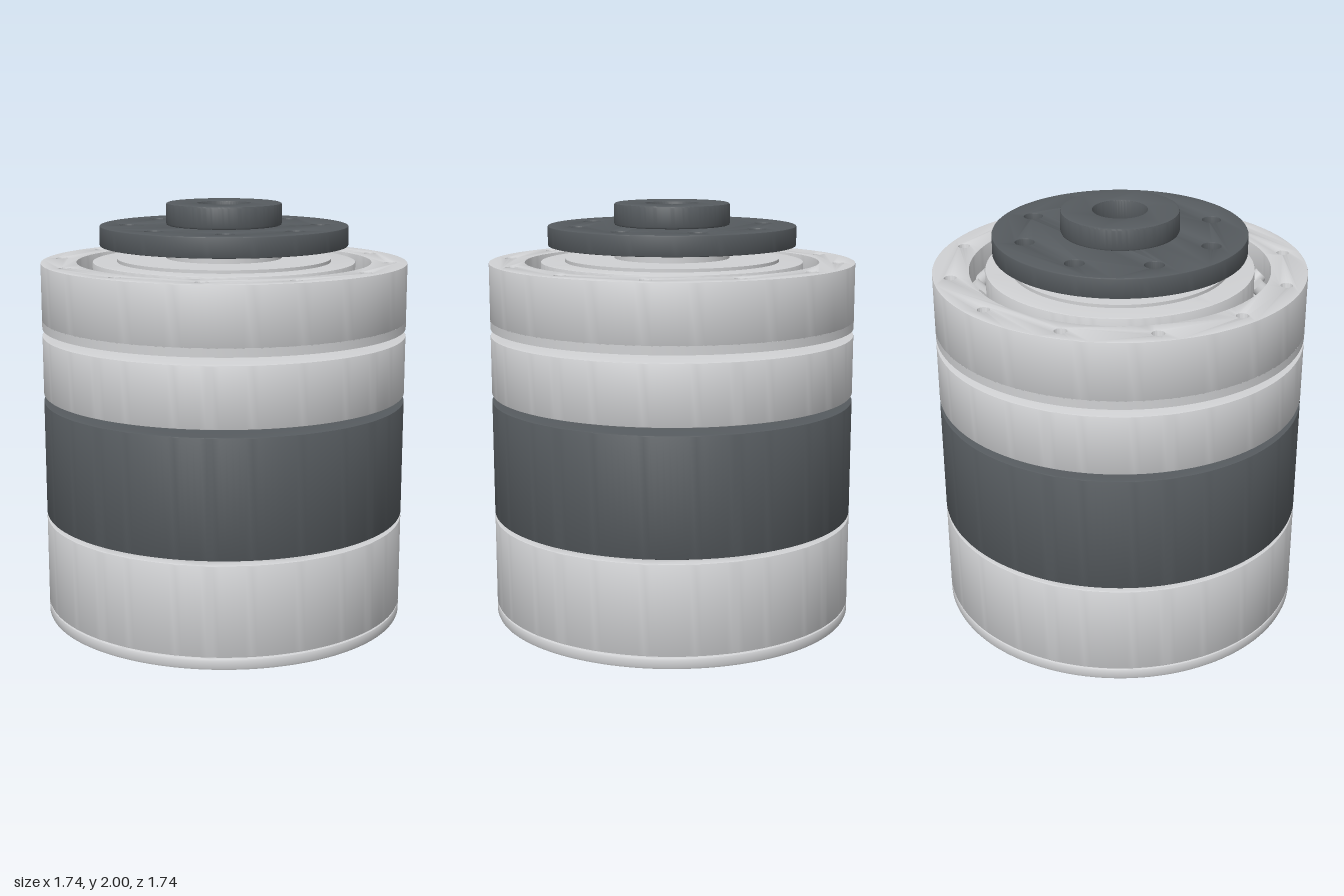
import * as THREE from 'three';
import { toCreasedNormals } from 'three/addons/utils/BufferGeometryUtils.js';

const material = (name, color) => {
  const m = new THREE.MeshStandardMaterial({ color });
  m.name = name;
  return m;
};

// Hole positions evenly spaced on a bolt circle: [x, z, radius]
const boltCircle = (count, radius, holeRadius, offset = 0) =>
  Array.from({ length: count }, (_, i) => {
    const a = offset + (i / count) * Math.PI * 2;
    return [Math.cos(a) * radius, Math.sin(a) * radius, holeRadius];
  });

export function createModel() {
  const model = new THREE.Group();
  model.name = 'rotaryActuator';
  const light = material('light metal', 0xd0d1d3);
  const dark = material('dark metal', 0x565b5f);
  const green = material('circuit green', 0x1f6b4f);

  function add(name, geometry, mat, parent = model) {
    const mesh = new THREE.Mesh(geometry, mat);
    mesh.name = name;
    parent.add(mesh);
    return mesh;
  }

  // Flat drilled ring from y0 to y1, with an optional bevelled rim
  function disc(name, mat, y0, y1, outer, inner, holes = [], bevel = 0) {
    const shape = new THREE.Shape();
    shape.absarc(0, 0, outer, 0, Math.PI * 2, false);
    for (const [x, z, r] of [[0, 0, inner], ...holes]) {
      const hole = new THREE.Path();
      hole.absarc(x, -z, r, 0, Math.PI * 2, true);
      shape.holes.push(hole);
    }
    const geometry = new THREE.ExtrudeGeometry(shape, {
      depth: y1 - y0 - 2 * bevel,
      curveSegments: holes.length ? 72 : 96,
      bevelEnabled: bevel > 0,
      bevelThickness: bevel,
      bevelSize: bevel,
      bevelOffset: -bevel,
      bevelSegments: 2,
    });
    geometry.rotateX(-Math.PI / 2);
    geometry.translate(0, y0 + bevel, 0);
    return add(name, toCreasedNormals(geometry, 0.45), mat);
  }

  // Rear cover with screw holes and two cable ports
  const coverHoles = [
    ...boltCircle(8, 0.775, 0.023, -0.105),
    [-0.16, -0.545, 0.077],
    [0.24, 0.52, 0.05],
  ];
  disc('rearCover', light, 0, 0.055, 0.87, 0.19, coverHoles, 0.012);
  disc('coverBoss', light, 0.05, 0.11, 0.23, 0.19);

  // Electronics housing with the circuit board in its mouth
  disc('electronicsHousing', light, 0.06, 0.49, 0.87, 0.8, [], 0.006);
  disc('coverSpigot', light, 0.05, 0.08, 0.81, 0.77);
  disc('circuitBoard', green, 0.48, 0.498, 0.77, 0.13, boltCircle(4, 0.3, 0.03, 0.4));
  const chips = new THREE.Group();
  chips.name = 'boardChips';
  model.add(chips);
  for (const [x, z, w, d] of [
    [-0.34, 0.1, 0.16, 0.2],
    [0.12, 0.27, 0.24, 0.12],
    [0.37, -0.05, 0.16, 0.2],
    [0.1, -0.43, 0.22, 0.08],
    [-0.2, 0.46, 0.12, 0.07],
  ]) {
    add('chip', new THREE.BoxGeometry(w, 0.01, d), dark, chips).position.set(x, 0.503, z);
  }

  // Motor and gear sections
  disc('motorHousing', dark, 0.51, 1.065, 0.87, 0.13, [], 0.004);
  disc('gearRing', light, 1.1, 1.38, 0.87, 0.13, [], 0.003);
  disc('gearSpigot', light, 1.38, 1.415, 0.51, 0.13);

  // Crossed-roller bearing: outer race, inner race and groove floor
  disc('bearingOuterRace', light, 1.45, 1.725, 0.87, 0.7, boltCircle(12, 0.79, 0.028), 0.003);
  disc('bearingBase', light, 1.415, 1.455, 0.87, 0.13);
  disc('grooveFloor', light, 1.455, 1.52, 0.705, 0.62);
  disc('bearingInnerRace', light, 1.45, 1.725, 0.625, 0.13, [], 0.003);
  disc('innerRaceLip', light, 1.72, 1.74, 0.51, 0.13);

  // Rollers, tilted alternately inward and outward
  const rollers = new THREE.Group();
  rollers.name = 'bearingRollers';
  model.add(rollers);
  const rollerGeometry = new THREE.CylinderGeometry(0.036, 0.036, 0.075, 20);
  for (let i = 0; i < 30; i++) {
    const spoke = new THREE.Group();
    spoke.name = 'rollerSpoke';
    spoke.rotation.y = (i / 30) * Math.PI * 2;
    rollers.add(spoke);
    const roller = add('roller', rollerGeometry, light, spoke);
    roller.position.set(0.663, 1.6, 0);
    roller.rotation.z = (i % 2 ? 1 : -1) * Math.PI / 4;
  }

  // Output shaft, bolted flange and hub
  disc('outputShaft', light, 1.74, 1.8, 0.275, 0.125);
  disc('outputFlange', dark, 1.8, 1.895, 0.59, 0.125, boltCircle(8, 0.455, 0.044, Math.PI / 8), 0.005);
  disc('outputHub', dark, 1.895, 2, 0.275, 0.125, [], 0.01);

  return model;
}
